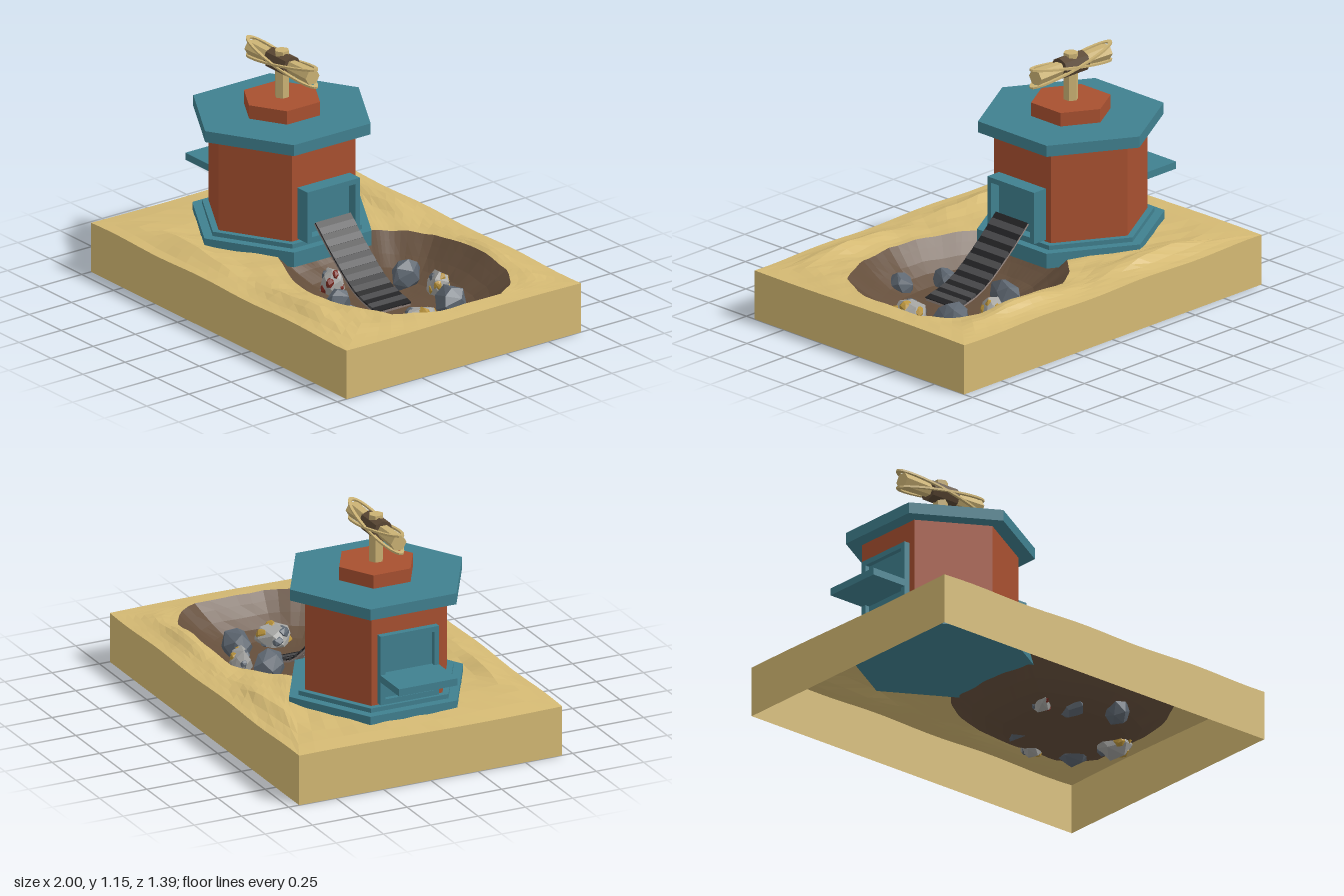
import * as THREE from 'three';
import { ConvexGeometry } from 'three/addons/geometries/ConvexGeometry.js';

const mat = (color, side = THREE.FrontSide) =>
  new THREE.MeshStandardMaterial({ color, flatShading: true, side });
const SAND = mat(0xd4b973, THREE.DoubleSide), DIRT = mat(0x644e3b, THREE.DoubleSide);
const TEAL = mat(0x40808f), BRICK = mat(0xa85030), TAN = mat(0xcbb274), BROWN = mat(0x5b4834);
const RUBBER = mat(0x222224), TREAD = mat(0x4a4a4c), METAL = mat(0x9a8a83);
const STONE = mat(0x5d6670), PALE = mat(0xa3a3a0), GOLD = mat(0xb8923a), RED = mat(0x7a2a20);

let seed = 7;
const rnd = () => (seed = (seed * 16807) % 2147483647) / 2147483647;

function add(parent, name, geo, material, x = 0, y = 0, z = 0) {
  const m = new THREE.Mesh(geo, material);
  m.name = name;
  m.position.set(x, y, z);
  parent.add(m);
  return m;
}

// Surface through closed rows of points, each row the same length
function loft(rows) {
  const n = rows[0].length, idx = [];
  for (let r = 0; r < rows.length - 1; r++) {
    for (let i = 0; i < n; i++) {
      const a = r * n + i, b = r * n + (i + 1) % n, c = b + n, d = a + n;
      idx.push(a, d, c, a, c, b);
    }
  }
  const g = new THREE.BufferGeometry().setFromPoints(rows.flat());
  g.setIndex(idx);
  g.computeVertexNormals();
  return g;
}

const HX = 1, HZ = 0.695, PIT = new THREE.Vector2(0.4, -0.04);
const RIM = [[-0.14, -0.25], [0, -0.41], [0.13, -0.49], [0.4, -0.51], [0.7, -0.49], [0.83, -0.41],
  [0.9, -0.3], [0.9, 0.09], [0.8, 0.28], [0.6, 0.38], [0.37, 0.42], [0.2, 0.4], [0.03, 0.33],
  [-0.12, 0.26], [-0.15, 0]];

// Small smooth unevenness shared by sand and pit
const ripple = (x, z) => Math.sin(x * 23 + 2 * Math.sin(z * 9)) * Math.sin(z * 27 + x * 5);

// Height of the sand: gentle waves, with ridges along the two long sides
function sandHeight(x, z) {
  const ridge = Math.exp(-(((Math.abs(z) - 0.55) / 0.06) ** 2)) * (0.5 + 0.5 * Math.sin(x * 7 + 4.5));
  const edge = Math.min(1, (HX - Math.abs(x)) * 6, (HZ - Math.abs(z)) * 8);
  return 0.25 + 0.004 * Math.sin(x * 9 + z * 4) + edge * (0.015 + 0.036 * ridge + 0.005 * ripple(x, z));
}

// Point where a ray from the pit centre toward p crosses the rim
function rimPoint(p) {
  const d = p.clone().sub(PIT);
  for (let i = 0; i < RIM.length; i++) {
    const a = new THREE.Vector2(...RIM[i]).sub(PIT);
    const e = new THREE.Vector2(...RIM[(i + 1) % RIM.length]).sub(PIT).sub(a);
    const k = d.cross(e), t = a.cross(e) / k, u = a.cross(d) / k;
    if (t > 0 && u >= -1e-6 && u <= 1 + 1e-6) return PIT.clone().addScaledVector(d, t);
  }
  return PIT.clone();
}

function buildGround(root) {
  const ground = new THREE.Group();
  ground.name = 'ground';
  root.add(ground);
  const corners = [[-HX, -HZ], [HX, -HZ], [HX, HZ], [-HX, HZ]].map(c => new THREE.Vector2(...c));
  const outer = [];
  corners.forEach((c, s) => {
    const n = s % 2 ? 16 : 22;
    for (let i = 0; i < n; i++) outer.push(c.clone().lerp(corners[(s + 1) % 4], i / n));
  });
  const rim = outer.map(rimPoint);

  const sandRows = [];
  for (let r = 0; r <= 8; r++) {
    sandRows.push(outer.map((o, i) => {
      const p = o.clone().lerp(rim[i], r / 8);
      return new THREE.Vector3(p.x, sandHeight(p.x, p.y), p.y);
    }));
  }
  add(ground, 'sandSurface', loft(sandRows), SAND);
  const foot = outer.map(o => new THREE.Vector3(o.x, 0, o.y));
  add(ground, 'groundSides', loft([foot, sandRows[0]]), SAND);

  // Pit: sloping wall easing into a nearly level floor
  const edge = sandRows[8], pitRows = [];
  for (const t of [1, 0.92, 0.82, 0.7, 0.55, 0.38, 0.2, 0]) {
    const k = Math.sin(Math.min(1, (1 - t) / 0.55) * Math.PI / 2);
    pitRows.push(edge.map(e => {
      const x = PIT.x + (e.x - PIT.x) * t, z = PIT.y + (e.z - PIT.y) * t;
      return new THREE.Vector3(x, e.y + (0.1 - e.y) * k + 0.006 * k * t * ripple(x, z), z);
    }));
  }
  add(ground, 'pit', loft(pitRows), DIRT);
}

// Rectangular frame with a back plate, facing +x
function hatch(w, h, depth, border) {
  const g = new THREE.Group(), s = new THREE.Shape(), hole = new THREE.Path();
  const rect = (p, a, b) => p.moveTo(-a, -b).lineTo(a, -b).lineTo(a, b).lineTo(-a, b).closePath();
  rect(s, w / 2, h / 2);
  rect(hole, w / 2 - border, h / 2 - border);
  s.holes.push(hole);
  const geo = new THREE.ExtrudeGeometry(s, { depth, bevelEnabled: false }).rotateY(Math.PI / 2);
  add(g, 'hatchFrame', geo, TEAL);
  add(g, 'hatchPanel', new THREE.BoxGeometry(depth * 0.4, h - border, w - border), TEAL, depth * 0.2);
  return g;
}

function buildRotor(tower) {
  const rotor = new THREE.Group();
  rotor.name = 'rotor';
  rotor.position.y = 1.087;
  tower.add(rotor);
  add(rotor, 'rotorHub', new THREE.CylinderGeometry(0.052, 0.052, 0.155, 8).rotateZ(Math.PI / 2), BROWN);
  const oval = new THREE.Shape().absellipse(0, 0, 0.275, 0.061, 0, Math.PI * 2);
  oval.holes.push(new THREE.Path().absellipse(0, 0, 0.25, 0.046, 0, Math.PI * 2));
  const hoop = new THREE.ExtrudeGeometry(oval, { depth: 0.01, bevelEnabled: false, curveSegments: 16 })
    .translate(0, 0, -0.005).rotateX(Math.PI / 2);
  // Arms flare toward their tips; the two flat hoops cross at the hub
  for (const s of [-1, 1]) {
    const arm = new THREE.CylinderGeometry(0.041, 0.032, 0.24, 6).rotateZ(-s * Math.PI / 2);
    add(rotor, 'rotorArm', arm, TAN, s * 0.12);
    add(rotor, 'rotorHoop', hoop, TAN).rotation.z = s * 0.165;
  }
}

function buildTower(root) {
  const tower = new THREE.Group();
  tower.name = 'tower';
  tower.position.x = -0.423;
  root.add(tower);
  // name, radius, bottom, top, material
  for (const [name, r, y0, y1, m] of [
    ['lowerPlinth', 0.46, 0.225, 0.3, TEAL], ['upperPlinth', 0.41, 0.29, 0.322, TEAL],
    ['walls', 0.376, 0.32, 0.792, BRICK], ['roof', 0.455, 0.79, 0.846, TEAL],
    ['roofCap', 0.195, 0.845, 0.914, BRICK], ['mast', 0.036, 0.91, 1.15, TAN]]) {
    add(tower, name, new THREE.CylinderGeometry(r, r, y1 - y0, 6), m, 0, (y0 + y1) / 2);
  }

  // Doorway above the belt
  const door = hatch(0.31, 0.26, 0.085, 0.026);
  door.name = 'doorway';
  door.position.set(0.32, 0.46, 0);
  tower.add(door);

  // Loading window with a shelf on the other side
  const window_ = hatch(0.31, 0.35, 0.04, 0.026);
  window_.name = 'loadingWindow';
  window_.rotation.y = Math.PI;
  window_.position.set(-0.317, 0.505, 0);
  tower.add(window_);
  add(tower, 'shelf', new THREE.BoxGeometry(0.22, 0.036, 0.31), TEAL, -0.442, 0.465);
  buildRotor(tower);
}

// Belt that drops steeply from the doorway and levels out on the pit floor
function buildConveyor(root) {
  const belt = new THREE.Group(), n = 17;
  belt.name = 'conveyor';
  root.add(belt);
  const path = new THREE.CatmullRomCurve3([[-0.025, 0.42], [0.12, 0.287], [0.29, 0.165], [0.45, 0.118]]
    .map(([x, y]) => new THREE.Vector3(x, y, 0)));
  const pts = path.getSpacedPoints(n);
  for (let i = 0; i < n; i++) {
    const a = pts[i], b = pts[i + 1], len = a.distanceTo(b) + 0.002, slat = new THREE.Group();
    slat.name = 'beltSection';
    slat.position.copy(a).lerp(b, 0.5);
    slat.rotation.z = Math.atan2(b.y - a.y, b.x - a.x);
    belt.add(slat);
    add(slat, 'beltSlat', new THREE.BoxGeometry(len, i % 2 ? 0.012 : 0.008, 0.208), i % 2 ? TREAD : RUBBER);
    add(slat, 'conveyorBed', new THREE.BoxGeometry(len, 0.014, 0.205), METAL, 0, -0.008);
  }
}

// Convex boulder from scattered points on a sphere
function boulder() {
  const pts = [];
  for (let i = 0; i < 18; i++) {
    const y = 1 - 2 * (i + 0.5) / 18, t = i * 2.4 + rnd() * 0.8, r = Math.sqrt(1 - y * y);
    pts.push(new THREE.Vector3(r * Math.cos(t), y, r * Math.sin(t)).multiplyScalar(0.9 + 0.2 * rnd()));
  }
  return new ConvexGeometry(pts);
}

function buildRocks(root) {
  // x, y, z, half sizes, and nugget material for ore
  for (const [x, y, z, sx, sy, sz, ore] of [
    [0.25, 0.165, -0.225, 0.06, 0.085, 0.09], [0.6, 0.145, -0.22, 0.085, 0.085, 0.085],
    [0.25, 0.13, 0.175, 0.05, 0.07, 0.065], [0.455, 0.135, 0.26, 0.058, 0.075, 0.055],
    [0.41, 0.145, -0.3, 0.063, 0.075, 0.055, GOLD], [0.66, 0.12, 0, 0.092, 0.08, 0.092, GOLD],
    [0.115, 0.155, 0.11, 0.06, 0.085, 0.06, RED]]) {
    const rock = new THREE.Group();
    rock.name = ore ? 'oreRock' : 'rock';
    rock.position.set(x, y, z);
    rock.scale.set(sx, sy, sz);
    root.add(rock);
    add(rock, 'boulder', boulder(), ore ? PALE : STONE);
    for (let i = 0; ore && i < 9; i++) {
      const v = 0.9 - 0.2 * i, t = i * 2.4, r = Math.sqrt(1 - v * v) * 0.66;
      const m = i % 3 === 1 ? STONE : ore;
      add(rock, 'nugget', boulder().scale(0.38, 0.38, 0.38), m, r * Math.cos(t), v * 0.66, r * Math.sin(t));
    }
  }
}

export function createModel() {
  const root = new THREE.Group();
  root.name = 'miningStation';
  buildGround(root);
  buildTower(root);
  buildConveyor(root);
  buildRocks(root);
  return root;
}
